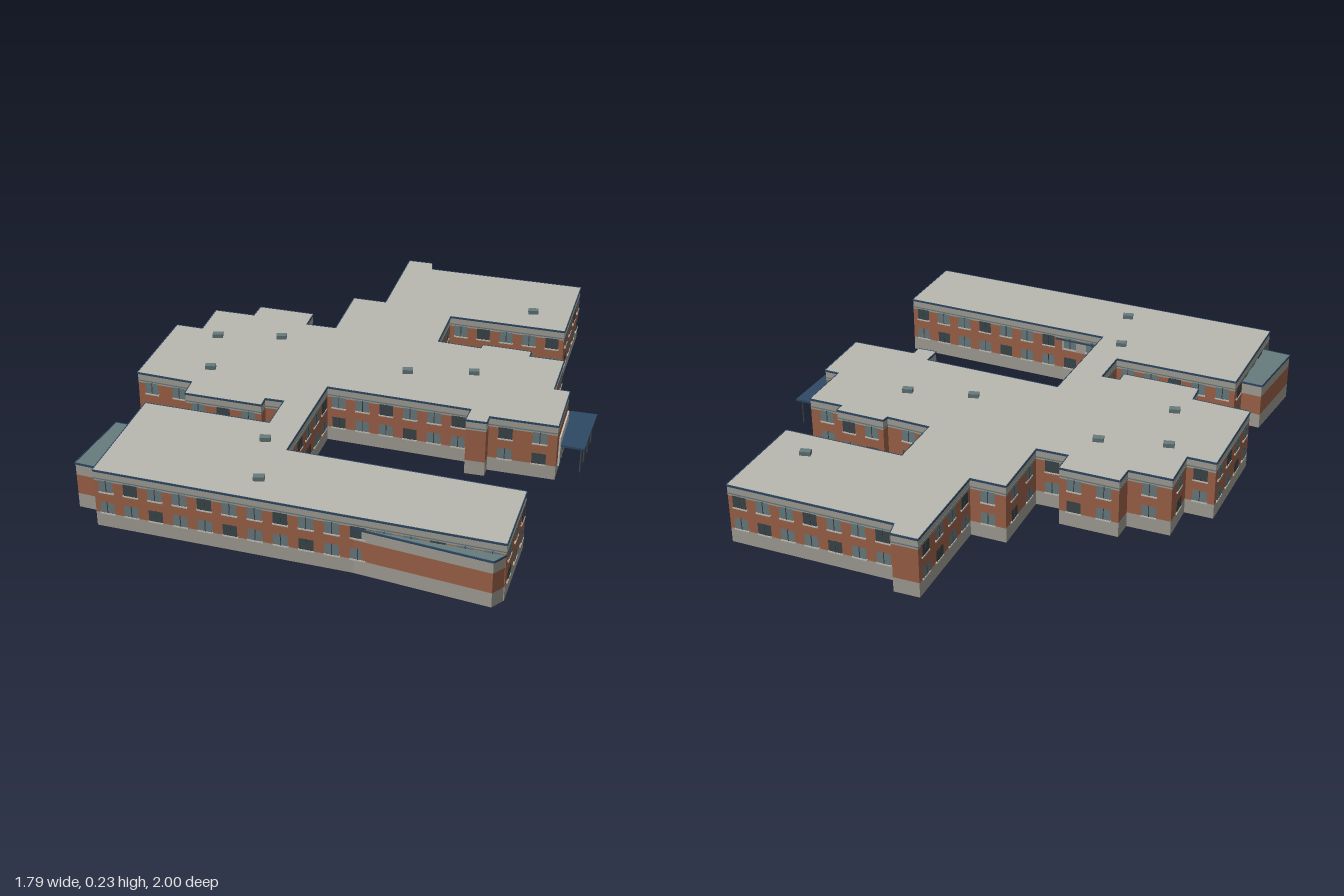
import * as THREE from 'three';
import { mergeGeometries } from 'three/addons/utils/BufferGeometryUtils.js';

function paint(name, hex, double) {
  const m = new THREE.MeshStandardMaterial({ color: hex });
  m.name = name;
  if (double) m.side = THREE.DoubleSide;
  return m;
}

export function createModel() {
  const model = new THREE.Group();
  model.name = 'building';
  const stone = paint('stone', 0xa5a299, true);
  const brick = paint('brick', 0xa0644a, true);
  const roofing = paint('roofing', 0xbab9b0, true);
  const glass = paint('glass', 0x6b7e82);
  const darkGlass = paint('darkGlass', 0x3c474b);
  const sill = paint('sill', 0xc6c3ba);
  const navy = paint('navy', 0x2f4a66);
  const teal = paint('teal', 0x677b7e, true);

  // Plan outlines as x, z corners, clockwise seen from above
  const mainPlan = [
    [0.21, -1], [0.30, -0.98], [0.3, -0.925], [0.89, -0.785], [0.8, -0.415], [0.37, -0.52],
    [0.32, -0.315], [0.48, -0.27], [0.49, -0.295], [0.665, -0.25], [0.655, -0.215], [0.78, -0.185],
    [0.73, 0.02], [0.785, 0.035], [0.73, 0.27], [0.495, 0.215], [0.485, 0.255], [0.415, 0.24],
    [0.435, 0.17], [-0.075, 0.035], [-0.19, 0.46], [0.6, 0.675], [0.525, 0.965], [-0.815, 0.605],
    [-0.705, 0.175], [-0.26, 0.29], [-0.22, 0.14], [-0.29, 0.125], [-0.3, 0.17], [-0.575, 0.1],
    [-0.56, 0.02], [-0.765, -0.04], [-0.67, -0.405], [-0.57, -0.38], [-0.535, -0.53], [-0.385, -0.495],
    [-0.365, -0.565], [-0.16, -0.515], [-0.18, -0.43], [-0.065, -0.405], [-0.005, -0.655], [0.12, -0.625],
  ];
  const sidePlan = [[-0.8, 0.24], [-0.728, 0.262], [-0.796, 0.532], [-0.895, 0.5]];
  const frontPlan = [[0.05, 0.838], [0.525, 0.962], [0.485, 0.998]];
  const innerPlan = [[-0.19, 0.458], [0, 0.512], [-0.01, 0.515]];
  const canopyPlan = [[0.8, -0.02], [0.895, 0], [0.83, 0.235], [0.74, 0.21]];

  function outline(plan) {
    return new THREE.Shape(plan.map(([x, z]) => new THREE.Vector2(x, -z)));
  }
  function slab(name, plan, y, material, parent = model) {
    const mesh = new THREE.Mesh(new THREE.ShapeGeometry(outline(plan)).rotateX(-Math.PI / 2), material);
    mesh.position.y = y;
    mesh.name = name;
    parent.add(mesh);
  }

  // Gathers pieces by part, one merged mesh each
  function collector(parent) {
    const parts = new Map();
    return {
      add(name, material, geometry) {
        if (!parts.has(name)) parts.set(name, { material, list: [] });
        parts.get(name).list.push(geometry);
      },
      finish() {
        for (const [name, { material, list }] of parts) {
          const mesh = new THREE.Mesh(mergeGeometries(list), material);
          mesh.name = name;
          parent.add(mesh);
        }
      },
    };
  }

  // Wall frame: t runs along the edge from its middle, out is the outward offset
  function edgeFrame([ax, az], [bx, bz]) {
    const dx = bx - ax, dz = bz - az, length = Math.hypot(dx, dz);
    const turn = Math.atan2(dz, -dx);
    const place = (g, t, y, out) => g.translate(t, y, out).rotateY(turn)
      .translate((ax + bx) / 2, 0, (az + bz) / 2);
    return {
      length,
      panel: (w, y0, y1, t = 0, out = 0) => place(new THREE.PlaneGeometry(w, y1 - y0), t, (y0 + y1) / 2, out),
      bar: (w, y0, y1, t, depth) => place(new THREE.BoxGeometry(w, y1 - y0, depth), t, (y0 + y1) / 2, depth / 2),
    };
  }

  // Stacked wall bands and a dark roof edge
  function bandedWalls(plan, brickTop, top, parts, dress) {
    plan.forEach((a, i) => {
      const f = edgeFrame(a, plan[(i + 1) % plan.length]);
      parts.add('baseWall', stone, f.panel(f.length, 0, 0.055));
      parts.add('brickWall', brick, f.panel(f.length, 0.055, brickTop));
      parts.add('upperBand', stone, f.panel(f.length, brickTop, top));
      parts.add('roofEdge', navy, f.bar(f.length, top - 0.006, top + 0.001, 0, 0.003));
      if (dress) dress(f, i);
    });
  }

  // Main block with two rows of windows
  const main = new THREE.Group();
  main.name = 'mainBlock';
  model.add(main);
  const mainParts = collector(main);
  const entranceEdge = 13;
  bandedWalls(mainPlan, 0.18, 0.22, mainParts, (f, edge) => {
    if (edge === entranceEdge) {
      // Pale entrance front with door lines
      mainParts.add('entranceFront', sill, f.bar(0.19, 0.03, 0.145, 0.02, 0.006));
      for (let k = -2; k <= 2; k++) {
        mainParts.add('entranceFrame', darkGlass, f.bar(0.003, 0.03, 0.1, 0.02 + k * 0.036, 0.008));
      }
      return;
    }
    const count = Math.floor((f.length - 0.01) / 0.085);
    const pitch = f.length / Math.max(count, 1);
    for (let k = 0; k < count; k++) {
      const t = (k - (count - 1) / 2) * pitch;
      [[0.058, 0.1], [0.14, 0.184]].forEach(([y0, y1], row) => {
        const dark = (k + row + edge) % 3 === 0;
        mainParts.add(dark ? 'darkWindows' : 'windows', dark ? darkGlass : glass,
          f.panel(0.05, y0, y1, t, 0.003));
        mainParts.add('windowBars', darkGlass, f.bar(0.003, y0, y1, t, 0.004));
        mainParts.add('windowSills', sill, f.bar(0.054, y0 - 0.005, y0, t, 0.005));
      });
    }
    // Thin line under the upper band
    mainParts.add('bandLine', teal, f.bar(f.length, 0.187, 0.191, 0, 0.002));
  });
  mainParts.finish();
  slab('mainRoof', mainPlan, 0.22, roofing, main);

  // Lower additions against the long wing
  [['sideAddition', sidePlan], ['frontAddition', frontPlan], ['innerAddition', innerPlan]].forEach(([name, plan]) => {
    const group = new THREE.Group();
    group.name = name;
    model.add(group);
    const parts = collector(group);
    bandedWalls(plan, 0.13, 0.177, parts);
    parts.finish();
    slab('lowRoof', plan, 0.177, teal, group);
  });

  // Entrance canopy on slim posts
  const canopy = new THREE.Group();
  canopy.name = 'entranceCanopy';
  model.add(canopy);
  const top = new THREE.Mesh(
    new THREE.ExtrudeGeometry(outline(canopyPlan), { depth: 0.008, bevelEnabled: false }).rotateX(-Math.PI / 2), navy);
  top.position.y = 0.1;
  top.name = 'canopyTop';
  canopy.add(top);
  for (const s of [0.08, 0.36, 0.64, 0.92]) {
    const post = new THREE.Mesh(new THREE.CylinderGeometry(0.0035, 0.0035, 0.1, 8), darkGlass);
    post.position.set(0.882 - 0.065 * s, 0.05, 0.235 * s);
    post.name = 'canopyPost';
    canopy.add(post);
  }

  // Roof units
  const units = [[-0.505, -0.32], [-0.265, -0.32], [-0.505, -0.08], [0.21, -0.08],
    [0.45, -0.08], [0.69, -0.56], [-0.265, 0.4], [-0.265, 0.64]];
  for (const [x, z] of units) {
    const unit = new THREE.Mesh(new THREE.BoxGeometry(0.038, 0.015, 0.024), teal);
    unit.position.set(x, 0.2275, z);
    unit.name = 'roofUnit';
    model.add(unit);
  }
  return model;
}
